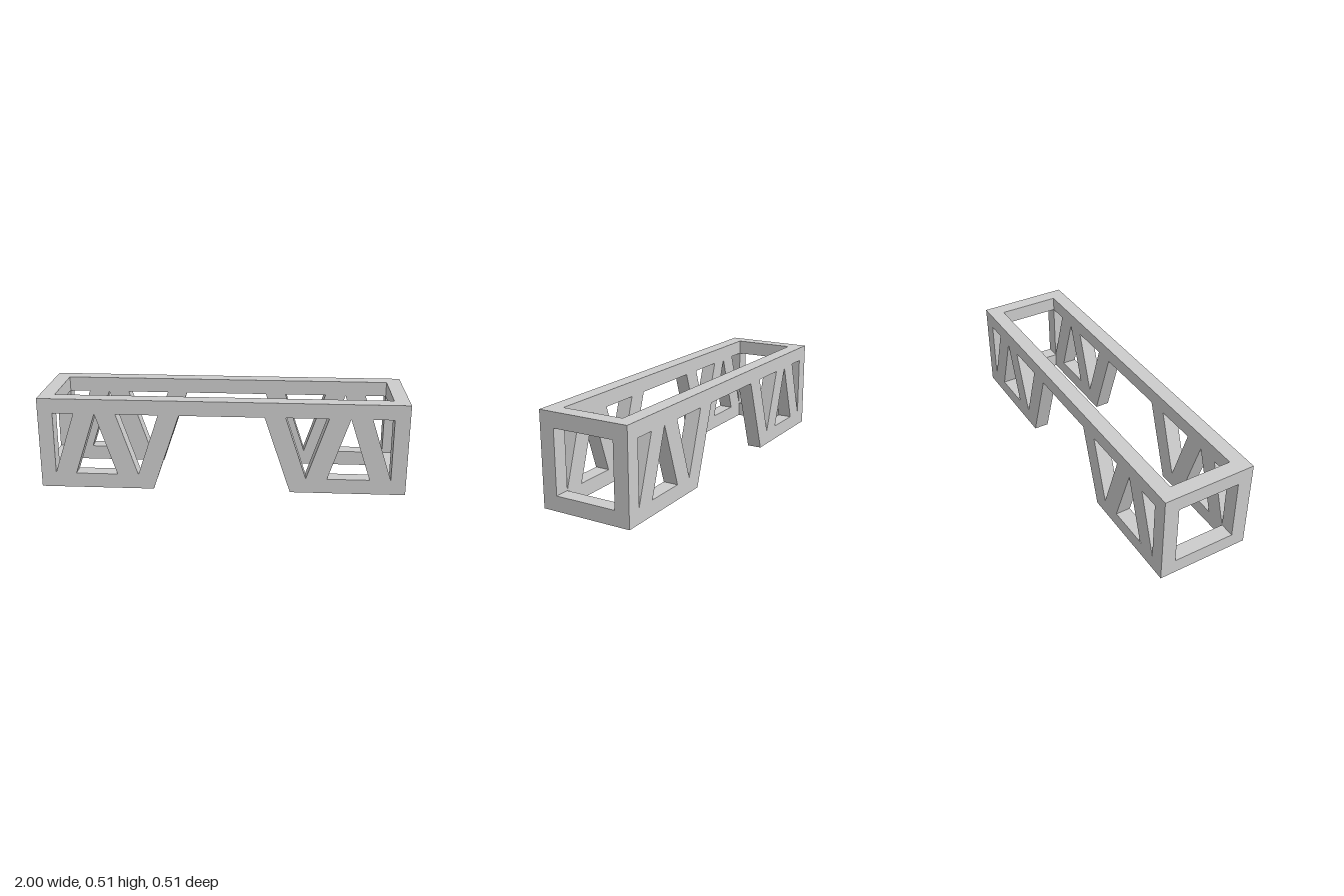
import * as THREE from 'three';

const H = 0.51, T = 0.082, HALF_DEPTH = 0.255;
const LOW = T, HIGH = H - T, INNER = 1 - T;

const polygon = (points, Type) => new Type(points.map(([x, y]) => new THREE.Vector2(x, y)));

export function createModel() {
  const group = new THREE.Group();
  group.name = 'trussBridge';
  const material = new THREE.MeshStandardMaterial({ color: 0xcccccc, flatShading: true });

  // Side truss outline: long top chord with a tapered foot at each end
  const right = [[0.23, HIGH], [0.375, 0], [1, 0], [1, H]];
  const left = right.map(([x, y]) => [-x, y]).reverse();
  const outline = polygon([...right, ...left], THREE.Shape);

  // Triangular openings between the diagonal braces, mirrored left and right
  const openings = [
    [[0.343, HIGH], [0.574, HIGH], [0.459, LOW]],
    [[0.574, LOW], [0.804, LOW], [0.689, HIGH]],
    [[0.804, HIGH], [INNER, HIGH], [INNER, LOW]],
  ];
  for (const side of [1, -1]) {
    for (const tri of openings) {
      outline.holes.push(polygon(tri.map(([x, y]) => [side * x, y]), THREE.Path));
    }
  }

  // Front and back trusses
  const trussGeometry = new THREE.ExtrudeGeometry(outline, { depth: T, bevelEnabled: false });
  for (const [name, z] of [['frontTruss', HALF_DEPTH - T], ['backTruss', -HALF_DEPTH]]) {
    const truss = new THREE.Mesh(trussGeometry, material);
    truss.name = name;
    truss.position.z = z;
    group.add(truss);
  }

  // Cross bars closing the square frame at each end
  const barGeometry = new THREE.BoxGeometry(T, T, 2 * (HALF_DEPTH - T));
  for (const [sideName, side] of [['left', 1], ['right', -1]]) {
    for (const [level, y] of [['Lower', T / 2], ['Upper', H - T / 2]]) {
      const bar = new THREE.Mesh(barGeometry, material);
      bar.name = `${sideName}${level}CrossBar`;
      bar.position.set(side * (1 - T / 2), y, 0);
      group.add(bar);
    }
  }
  return group;
}
